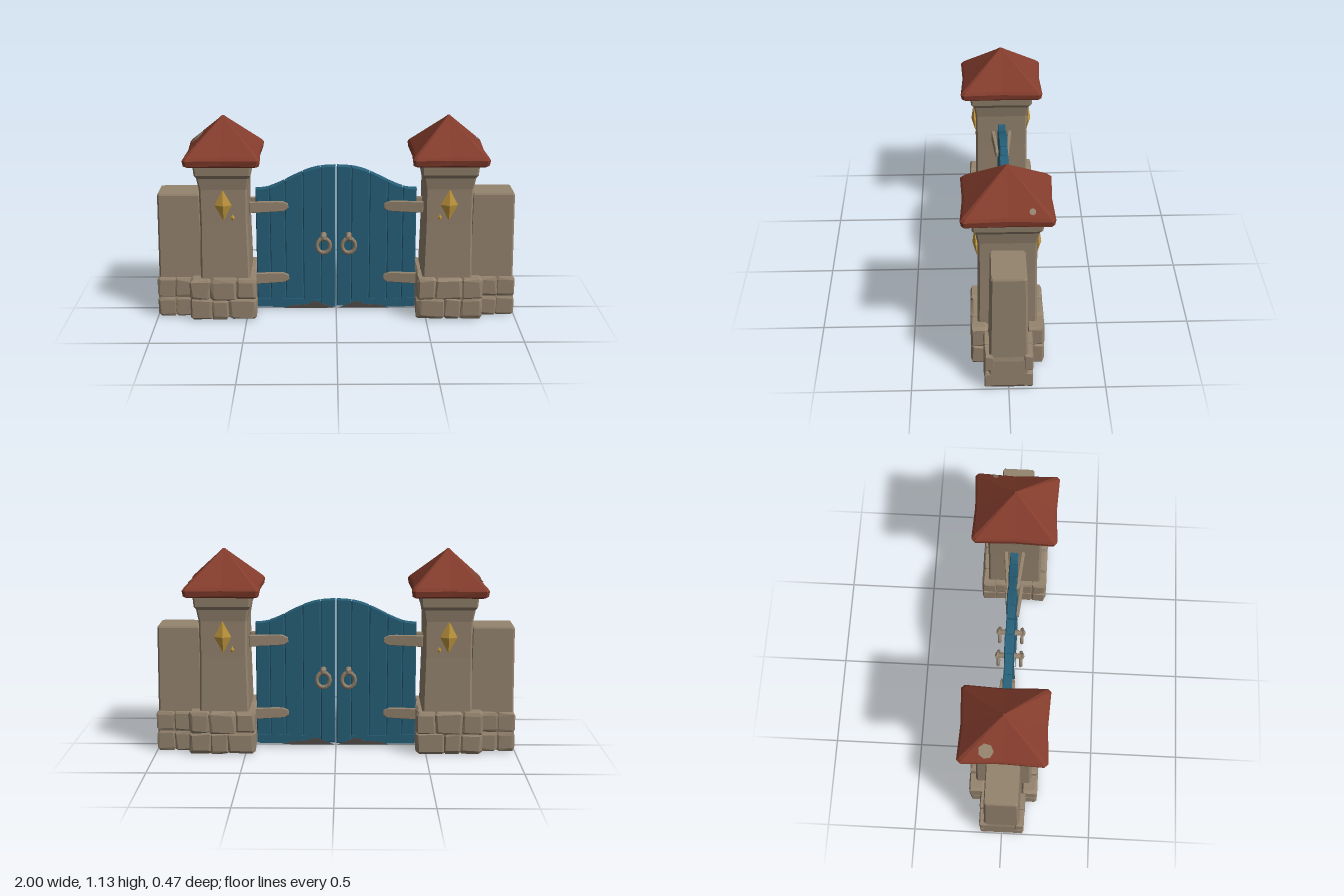
import * as THREE from 'three';
import { ConvexGeometry } from 'three/addons/geometries/ConvexGeometry.js';

const mat = (name, color) => {
  const m = new THREE.MeshStandardMaterial({ color });
  m.name = name;
  return m;
};

// Small seeded generator for the irregular stones and planks
function seeded(seed) {
  let s = seed;
  return () => (s = (s * 16807) % 2147483647) / 2147483647;
}

// Cross-section with cut corners; dip pulls the middle of each edge inwards
function section(hx, hz, cut, dip) {
  const c = cut;
  return [
    [hx, -hz + c], [hx - dip, 0], [hx, hz - c], [hx - c, hz], [0, hz - dip], [-hx + c, hz],
    [-hx, hz - c], [-hx + dip, 0], [-hx, -hz + c], [-hx + c, -hz], [0, -hz + dip], [hx - c, -hz],
  ];
}

// Stacks sections given as [y, halfX, halfZ, cut, dip] into a closed, faceted solid
function loft(levels) {
  const pos = [], idx = [], n = 12;
  levels.forEach(([y, hx, hz, cut = 0.01, dip = 0]) =>
    section(hx, hz, cut, dip).forEach(([x, z]) => pos.push(x, y, z)));
  for (let l = 0; l < levels.length - 1; l++) {
    for (let i = 0; i < n; i++) {
      const a = l * n + i, b = l * n + (i + 1) % n;
      idx.push(a, a + n, b, b, a + n, b + n);
    }
  }
  const top = (levels.length - 1) * n;
  pos.push(0, levels[0][0], 0, 0, levels[levels.length - 1][0], 0);
  const lowMid = levels.length * n;
  for (let i = 0; i < n; i++) {
    const j = (i + 1) % n;
    idx.push(lowMid, i, j, lowMid + 1, top + j, top + i);
  }
  const g = new THREE.BufferGeometry();
  g.setAttribute('position', new THREE.Float32BufferAttribute(pos, 3));
  g.setIndex(idx);
  const flat = g.toNonIndexed();
  flat.computeVertexNormals();
  return flat;
}

// Rough stone: a box whose corners are cut and jittered
function stoneGeometry(w, h, d, rnd) {
  const pts = [];
  for (const x of [-1, 1]) for (const y of [-1, 1]) for (const z of [-1, 1]) {
    for (let k = 0; k < 3; k++) {
      const cut = [0, 1, 2].map((a) => (a === k ? 1 : 0.62 + rnd() * 0.25));
      pts.push(new THREE.Vector3(x * w / 2 * cut[0], y * h / 2 * cut[1], z * d / 2 * cut[2]));
    }
  }
  return new ConvexGeometry(pts);
}

// Height of the arched gate top
const arch = (x) => 0.72 + 0.13 * (0.5 + 0.5 * Math.cos(Math.PI * Math.min(1, Math.abs(x) / 0.43) ** 1.25));

const polygon = (pts) => new THREE.Shape(pts.map(([x, y]) => new THREE.Vector2(x, y)));

export function createModel() {
  const stone = mat('stone', 0x95846f);
  const roofRed = mat('roof red', 0x853d2d);
  const gateBlue = mat('gate blue', 0x276079);
  const gold = mat('gold', 0xc79c40);
  const dark = mat('worn grey', 0x504c48);
  const model = new THREE.Group();
  model.name = 'gateway';

  const add = (parent, name, geo, material, x = 0, y = 0, z = 0) => {
    const m = new THREE.Mesh(geo, material);
    m.name = name;
    m.position.set(x, y, z);
    parent.add(m);
    return m;
  };

  function buildPillar(parent, rnd) {
    const px = 0.615;
    add(parent, 'pillarShaft', loft([
      [0.1, 0.138, 0.158], [0.28, 0.136, 0.154], [0.55, 0.13, 0.149], [0.75, 0.131, 0.15],
      [0.815, 0.142, 0.16], [0.835, 0.153, 0.176], [0.9, 0.158, 0.182],
    ]), stone, px);
    add(parent, 'roof', loft([
      [0.89, 0.19, 0.215, 0.015, 0.004], [0.9, 0.203, 0.228, 0.015, 0.008],
      [0.93, 0.208, 0.234, 0.018, 0.01], [0.945, 0.198, 0.222, 0.015, 0.009],
      [1.115, 0.02, 0.022, 0.004, 0.001], [1.13, 0.006, 0.006, 0.002, 0],
    ]), roofRed, px);
    // Side wall and its footing
    add(parent, 'sideWall', loft([
      [0.18, 0.125, 0.1], [0.4, 0.122, 0.095], [0.7, 0.118, 0.09], [0.71, 0.113, 0.085],
    ]), stone, 0.865);
    add(parent, 'wallFooting', loft([
      [0.01, 0.115, 0.1, 0.02], [0.03, 0.125, 0.113, 0.02], [0.19, 0.122, 0.113, 0.02], [0.22, 0.115, 0.1, 0.02],
    ]), stone, 0.873);
    // Rubble base around a solid core
    add(parent, 'baseCore', new THREE.BoxGeometry(0.3, 0.2, 0.33), stone, 0.625, 0.125);
    const rubble = (x, y, z, w, h, d) => add(parent, 'baseStone', stoneGeometry(w, h, d, rnd), stone, x, y, z);
    for (let row = 0; row < 2; row++) {
      const y = 0.07 + row * 0.112;
      const cuts = row ? [0.45, 0.55, 0.7, 0.805] : [0.45, 0.6, 0.69, 0.805];
      for (const f of [-1, 1]) {
        for (let i = 0; i < 3; i++) {
          rubble((cuts[i] + cuts[i + 1]) / 2, y, f * 0.147, cuts[i + 1] - cuts[i] + 0.012, 0.12 + rnd() * 0.012, 0.09);
        }
        rubble(0.49, y, f * (0.055 + row * 0.005), 0.085, 0.125, 0.125);
        rubble(0.85, y - 0.008, f * 0.1, 0.1, 0.11, 0.055);
        rubble(0.945, y - 0.008, f * 0.1, 0.105, 0.11, 0.05);
      }
    }
    // Gold diamonds on both faces, leaning out at the top
    for (const f of [-1, 1]) {
      const d = add(parent, 'diamond', new THREE.OctahedronGeometry(1), gold, px, 0.665, f * 0.158);
      d.scale.set(0.047, 0.09, 0.018);
      d.rotation.x = f * 0.06;
      const small = add(parent, 'smallDiamond', new THREE.OctahedronGeometry(1), gold, px - 0.05, 0.592, f * 0.15);
      small.scale.set(0.012, 0.02, 0.005);
    }
  }

  function buildDoor(parent, rnd) {
    const edges = [0.003, 0.085, 0.185, 0.285, 0.37, 0.448];
    const core = [[0.003, 0.02]];
    for (let i = 0; i <= 10; i++) core.push([0.445 - i * 0.0442, arch(0.445 - i * 0.0442) - 0.012]);
    core.splice(1, 0, [0.445, 0.02]);
    const coreGeo = new THREE.ExtrudeGeometry(polygon(core), { depth: 0.03, bevelEnabled: false });
    add(parent, 'doorCore', coreGeo, gateBlue, 0, 0, -0.015);
    // Bevelled planks following the arch
    for (let i = 0; i < 5; i++) {
      const a = edges[i] + 0.005, b = edges[i + 1] - 0.005, low = 0.02 + rnd() * 0.008;
      const pts = [[a, low], [b, low]];
      for (let k = 0; k <= 5; k++) {
        const x = b + (a - b) * k / 5;
        pts.push([x, arch(x) - 0.006]);
      }
      const t = 0.036 + (i % 2) * 0.006;
      const g = new THREE.ExtrudeGeometry(polygon(pts),
        { depth: t, bevelSize: 0.004, bevelThickness: 0.004, bevelSegments: 1 });
      add(parent, 'plank', g, gateBlue, 0, 0, -t / 2);
    }
    const rail = add(parent, 'bottomRail', new THREE.BoxGeometry(0.36, 0.05, 0.054), gateBlue, 0.265, 0.042);
    rail.rotation.z = 0.02;
    // Worn lower edge
    const wear = polygon([[0.01, 0.013], [0.3, 0.013], [0.25, 0.03], [0.16, 0.035], [0.12, 0.055], [0.07, 0.035]]);
    for (const f of [-1, 1]) {
      add(parent, 'wornEdge', new THREE.ExtrudeGeometry(wear, { depth: 0.004, bevelEnabled: false }),
        dark, 0, 0, f * 0.028 - 0.002);
    }
    // Strap hinges and ring handles on both faces
    const strap = polygon([[0.015, -0.029], [0.015, 0.029], [-0.13, 0.028], [-0.17, 0.026],
      [-0.196, 0.012], [-0.198, -0.008], [-0.175, -0.023], [-0.13, -0.025]]);
    const strapGeo = new THREE.ExtrudeGeometry(strap,
      { depth: 0.014, bevelSize: 0.003, bevelThickness: 0.003, bevelSegments: 1 });
    strapGeo.translate(0, 0, -0.007);
    for (const f of [-1, 1]) {
      for (const y of [0.2, 0.62]) {
        const h = add(parent, 'hinge', strapGeo, stone, 0.465, y, f * 0.047);
        h.rotation.y = -f * 0.1;
      }
      const ring = add(parent, 'ringHandle', new THREE.TorusGeometry(0.037, 0.011, 6, 12), stone, 0.07, 0.4, f * 0.064);
      ring.scale.y = 1.15;
      const stem = add(parent, 'handleStem', new THREE.CylinderGeometry(0.012, 0.018, 0.06, 8), stone, 0.07, 0.45, f * 0.048);
      stem.rotation.x = f * Math.PI / 2;
      const knob = add(parent, 'handleKnob', new THREE.DodecahedronGeometry(0.02), stone, 0.07, 0.45, f * 0.072);
      knob.scale.z = 0.6;
    }
  }

  // Each half is the other turned half way round
  for (const [name, turn, seed] of [['leftHalf', 0, 4711], ['rightHalf', Math.PI, 9203]]) {
    const half = new THREE.Group();
    half.name = name;
    half.rotation.y = turn;
    const rnd = seeded(seed);
    buildPillar(half, rnd);
    buildDoor(half, rnd);
    model.add(half);
  }

  // Bare patches lying on the outer roof slopes
  const patch = (sx, z, r) => {
    const g = new THREE.CylinderGeometry(r, r * 0.9, 0.006, 7);
    const slope = Math.atan2(0.17, 0.178);
    const x = 0.813 - r * 0.75 - 0.012;
    const p = add(model, 'roofPatch', g, stone, sx * x, 0.945 + (0.813 - x) * 0.955, z);
    p.rotation.z = -sx * slope;
    p.scale.z = 0.9;
  };
  patch(-1, -0.085, 0.045);
  patch(1, -0.12, 0.018);
  return model;
}
